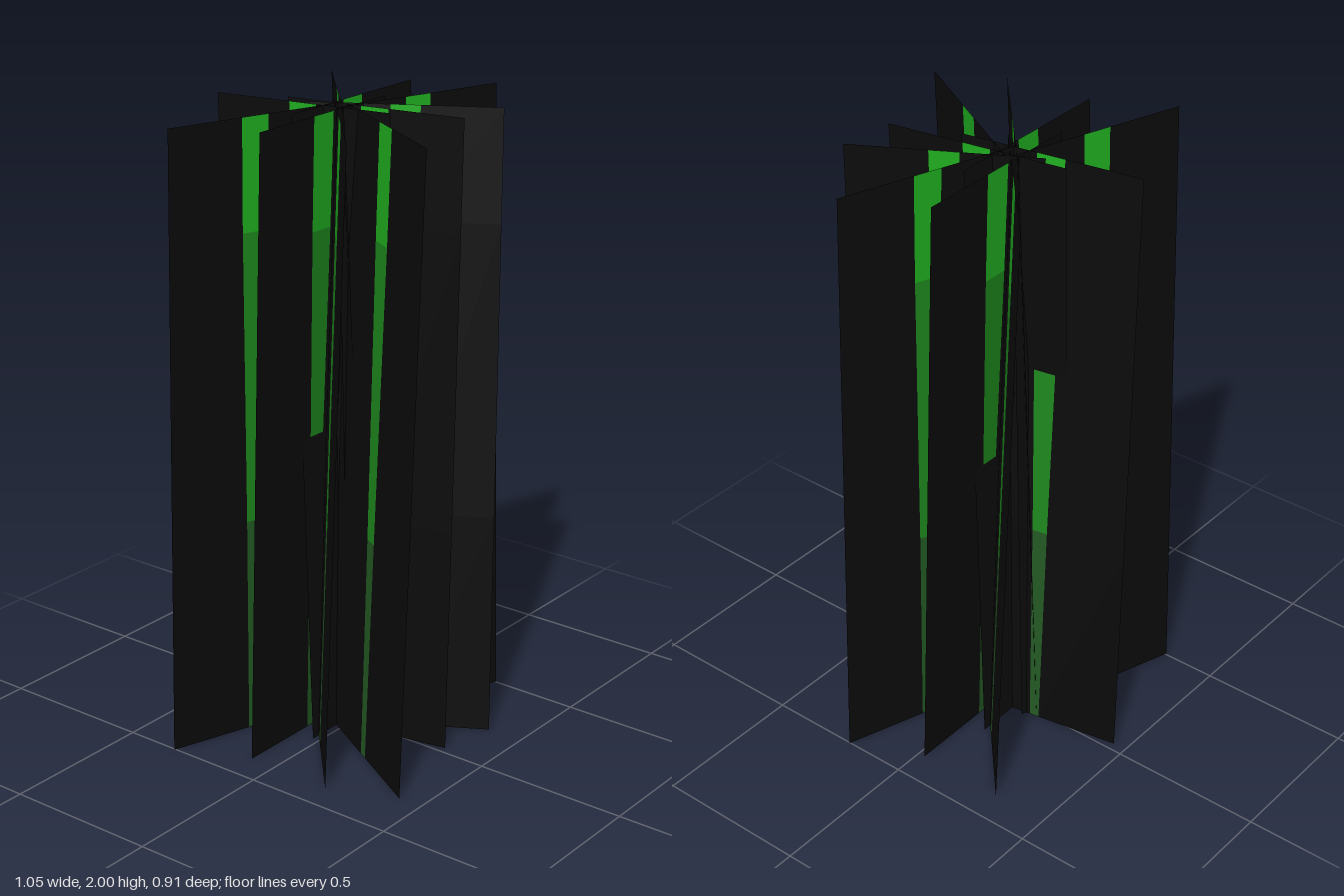
import * as THREE from 'three';

const HALF = 0.29;    // half the sheet width
const LEAN = 0.0335;  // sideways lean at top and bottom

// Blade outline: height and half width, from root to tip
const rows = [[0, 0.016], [0.72, 0.025], [1.65, 0.042], [2, 0.045]];

const material = (name, color) => {
  const m = new THREE.MeshStandardMaterial({ color, side: THREE.DoubleSide });
  m.name = name;
  return m;
};

// Leaning flat strip running between two edges, each given as x for a row
function strip(levels, left, right) {
  const pos = [], index = [];
  levels.forEach((row, i) => {
    const z = LEAN * (1 - row[0]);
    pos.push(left(row), row[0], z, right(row), row[0], z);
    if (i > 0) {
      const a = 2 * (i - 1);
      index.push(a, a + 1, a + 3, a, a + 3, a + 2);
    }
  });
  const g = new THREE.BufferGeometry();
  g.setAttribute('position', new THREE.Float32BufferAttribute(pos, 3));
  g.setIndex(index);
  g.computeVertexNormals();
  return g;
}

export function createModel() {
  const black = material('black', 0x0b0b0b);
  const greens = [
    material('dark green', 0x235a23),
    material('mid green', 0x1e8a1e),
    material('bright green', 0x20b020),
  ];

  // Black sheet on both sides of the blade, and the blade in three shades
  const sheetLeft = strip(rows, () => -HALF, r => -r[1]);
  const sheetRight = strip(rows, r => r[1], () => HALF);
  const blades = greens.map((_, i) => strip(rows.slice(i, i + 2), r => -r[1], r => r[1]));

  // Sheets around the middle: centre x, centre z, outward direction in degrees (x towards z)
  const sheets = [
    [0.11, -0.057, 0], [-0.11, -0.057, 180],
    [0.238, 0.081, 18.4], [-0.24, -0.196, 198.4],
    [0.168, -0.151, -42], [-0.168, 0.037, 138],
    [-0.01, -0.164, 260], [0.008, 0.051, 80],
    [0.095, 0.112, 60], [-0.143, 0.186, 120],
  ];

  const model = new THREE.Group();
  model.name = 'grassClump';
  for (const [x, z, angle] of sheets) {
    const leaf = new THREE.Group();
    leaf.name = 'grassSheet';
    const add = (geometry, mat, name) => {
      const mesh = new THREE.Mesh(geometry, mat);
      mesh.name = name;
      leaf.add(mesh);
    };
    add(sheetLeft, black, 'innerBacking');
    add(sheetRight, black, 'outerBacking');
    blades.forEach((g, i) => add(g, greens[i], ['bladeRoot', 'bladeMiddle', 'bladeTip'][i]));
    leaf.position.set(x, 0, z);
    leaf.rotation.y = -THREE.MathUtils.degToRad(angle);
    model.add(leaf);
  }
  return model;
}
